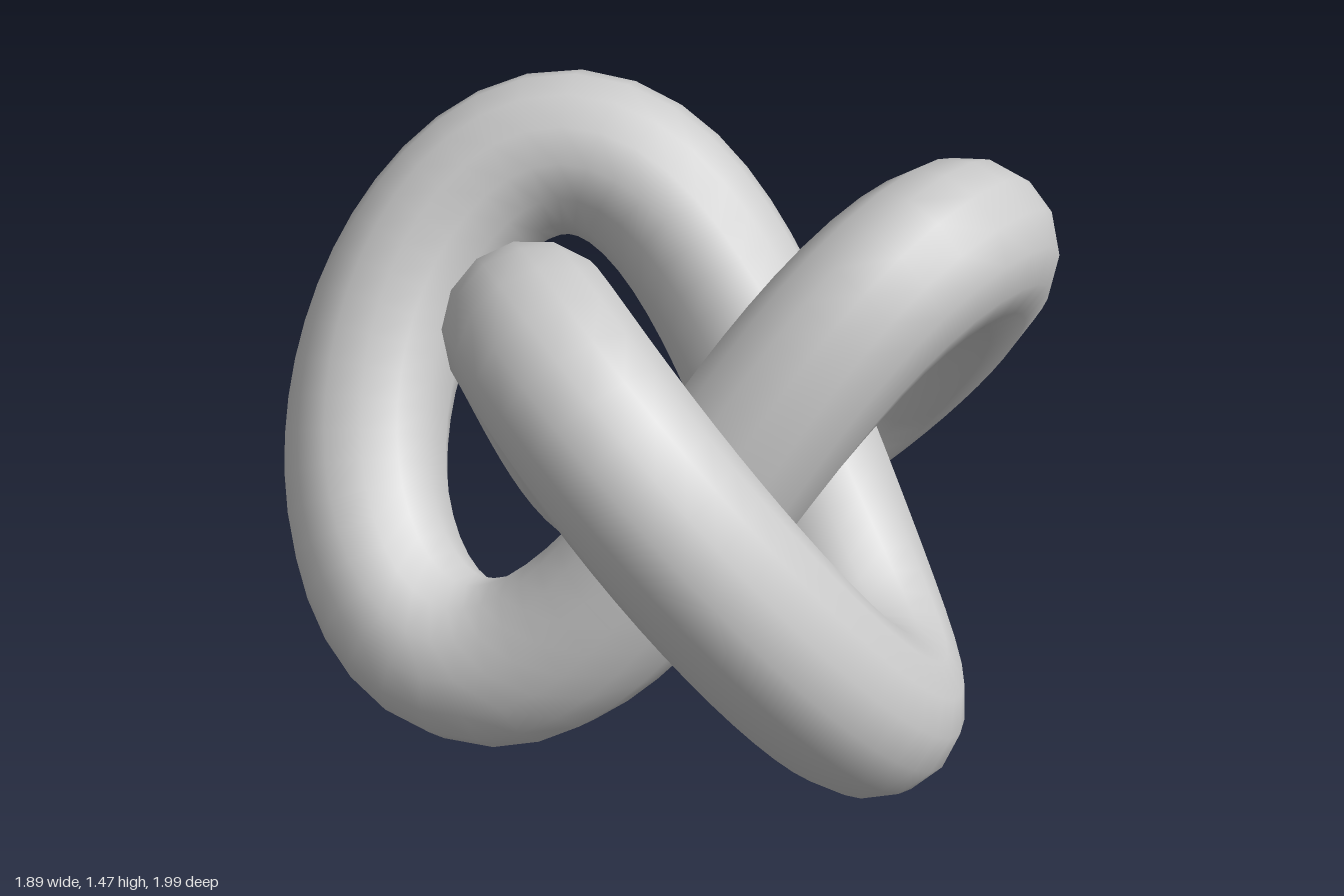
import * as THREE from 'three';

// Centre line of a three-lobed knot standing around the y axis
class TrefoilCurve extends THREE.Curve {
  getPoint(u, target = new THREE.Vector3()) {
    const t = u * Math.PI * 2;
    const main = 0.58, lobe = 0.22, ripple = 0.048; // plan harmonics
    return target.set(
      0.118 - main * Math.cos(2 * t) + lobe * Math.cos(t) + ripple * Math.cos(5 * t),
      0.737 + 0.522 * Math.sin(3 * t),
      main * Math.sin(2 * t) + lobe * Math.sin(t) - ripple * Math.sin(5 * t)
    );
  }
}

export function createModel() {
  const group = new THREE.Group();
  group.name = 'trefoilKnot';

  // One closed round tube swept along the knot
  const tube = new THREE.Mesh(
    new THREE.TubeGeometry(new TrefoilCurve(), 120, 0.213, 14, true),
    new THREE.MeshStandardMaterial({ color: 0xcccccc })
  );
  tube.name = 'knotTube';
  group.add(tube);
  return group;
}
